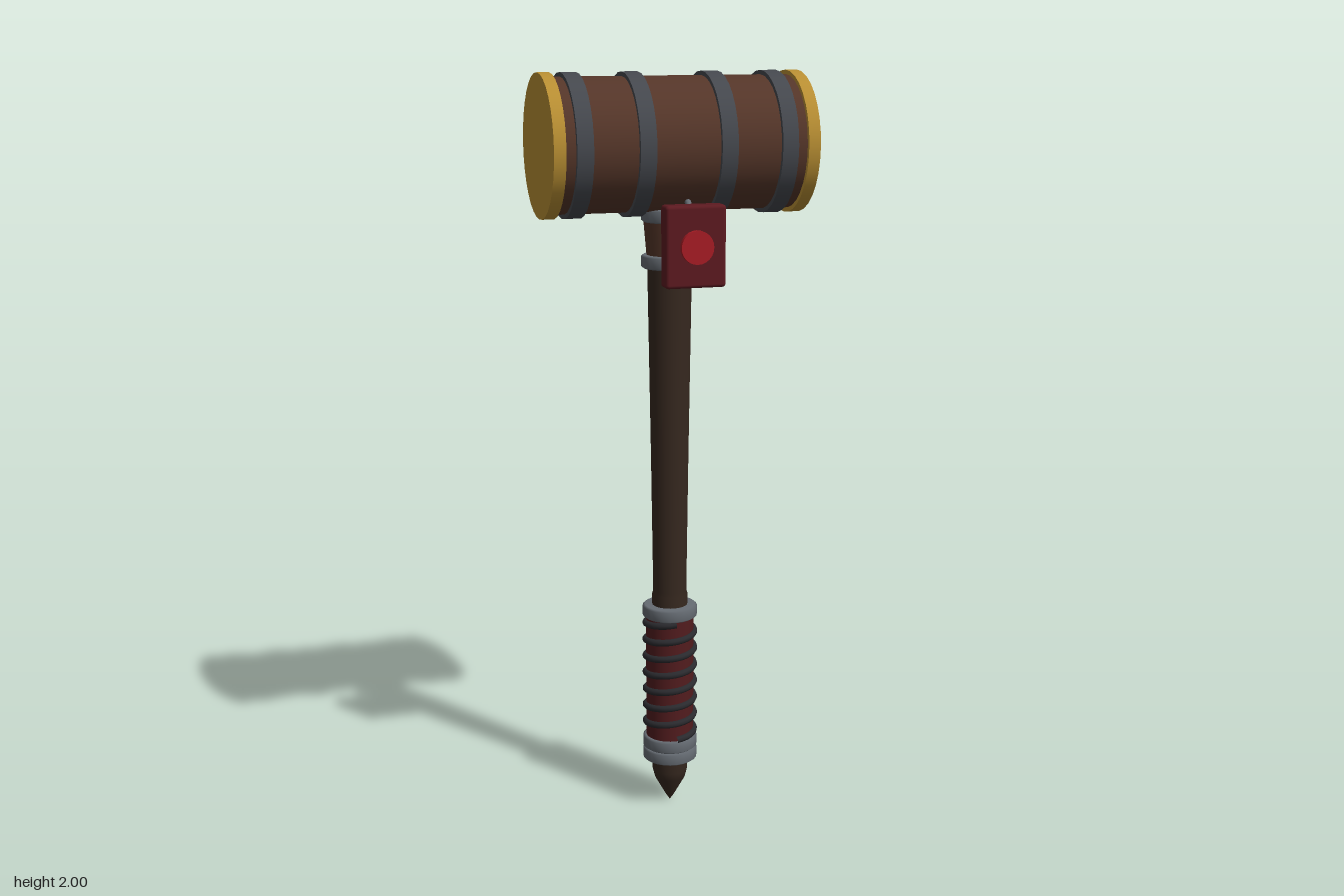
import * as THREE from 'three';
import { RoundedBoxGeometry } from 'three/addons/geometries/RoundedBoxGeometry.js';

const mat = (color) => new THREE.MeshStandardMaterial({ color });

export function createModel() {
  const model = new THREE.Group();
  const barrelWood = mat(0x553629), shaftWood = mat(0x36281f), iron = mat(0x45484e);
  const steel = mat(0x666c73), gold = mat(0xb98f33), leather = mat(0x521c1e);
  const cord = mat(0x2a2a2e), red = mat(0x5c1a20), bright = mat(0xa81c24);

  const add = (parent, name, geometry, material, x = 0, y = 0, z = 0) => {
    const mesh = new THREE.Mesh(geometry, material);
    mesh.name = name;
    mesh.position.set(x, y, z);
    parent.add(mesh);
    return mesh;
  };

  // Hammer axis sits slightly behind the centre
  const hammer = new THREE.Group();
  hammer.name = 'hammer';
  hammer.position.z = -0.033;
  model.add(hammer);

  // Head: barrel, iron bands and gold end caps along x
  const disc = (name, radius, width, material, x) => {
    const g = new THREE.CylinderGeometry(radius, radius, width, 32).rotateZ(Math.PI / 2);
    add(hammer, name, g, material, x, 1.818);
  };
  disc('barrel', 0.171, 0.63, barrelWood, 0);
  for (const side of [-1, 1]) {
    disc('innerBand', 0.182, 0.042, iron, side * 0.105);
    disc('outerBand', 0.182, 0.042, iron, side * 0.264);
    disc('endCap', 0.182, 0.031, gold, side * 0.3275);
  }

  // Shaft and flared neck under the head
  const shaftProfile = [[0.048, 0.56], [0.048, 0.61], [0.045, 0.62], [0.05, 1], [0.058, 1.5]];
  add(hammer, 'shaft', new THREE.LatheGeometry(
    shaftProfile.map(([r, y]) => new THREE.Vector2(r, y)), 24), shaftWood);
  add(hammer, 'neck', new THREE.CylinderGeometry(0.07, 0.058, 0.14, 24), barrelWood, 0, 1.58);

  // Steel collars
  for (const y of [0.148, 0.183, 0.563, 1.518, 1.638]) {
    const edge = [[0, -0.0175], [0.068, -0.0175], [0.074, -0.013], [0.074, 0.013], [0.068, 0.0175], [0, 0.0175]];
    add(hammer, 'collar', new THREE.LatheGeometry(
      edge.map(([r, h]) => new THREE.Vector2(r, h)), 24), steel, 0, y);
  }

  // Grip with a spiral cord
  add(hammer, 'grip', new THREE.CylinderGeometry(0.065, 0.065, 0.36, 24), leather, 0, 0.373);
  const turns = 7, points = [];
  for (let i = 0; i <= turns * 16; i++) {
    const t = (i / 16) * Math.PI * 2;
    points.push(new THREE.Vector3(
      Math.sin(t) * 0.066, 0.205 + 0.335 * i / (turns * 16), Math.cos(t) * 0.066));
  }
  add(hammer, 'gripCord', new THREE.TubeGeometry(
    new THREE.CatmullRomCurve3(points), turns * 28, 0.0095, 8), cord);

  // Pointed pommel
  const pommel = [[0, 0], [0.012, 0.018], [0.042, 0.072], [0.048, 0.095], [0.05, 0.14]];
  add(hammer, 'pommel', new THREE.LatheGeometry(
    pommel.map(([r, y]) => new THREE.Vector2(r, y)), 24), shaftWood);

  // Hanging red box with a round button and a short peg
  const tag = new THREE.Group();
  tag.name = 'hangingBox';
  tag.position.set(0, 1.583, 0.177);
  model.add(tag);
  add(tag, 'box', new RoundedBoxGeometry(0.156, 0.205, 0.051, 3, 0.009), red);
  add(tag, 'button', new THREE.CylinderGeometry(0.042, 0.042, 0.03, 24).rotateX(Math.PI / 2), bright, 0, 0, 0.0235);
  const peg = add(tag, 'peg', new THREE.CylinderGeometry(0.008, 0.008, 0.05, 10), steel, 0, 0.09, -0.03);
  peg.rotation.x = -0.95;

  return model;
}
